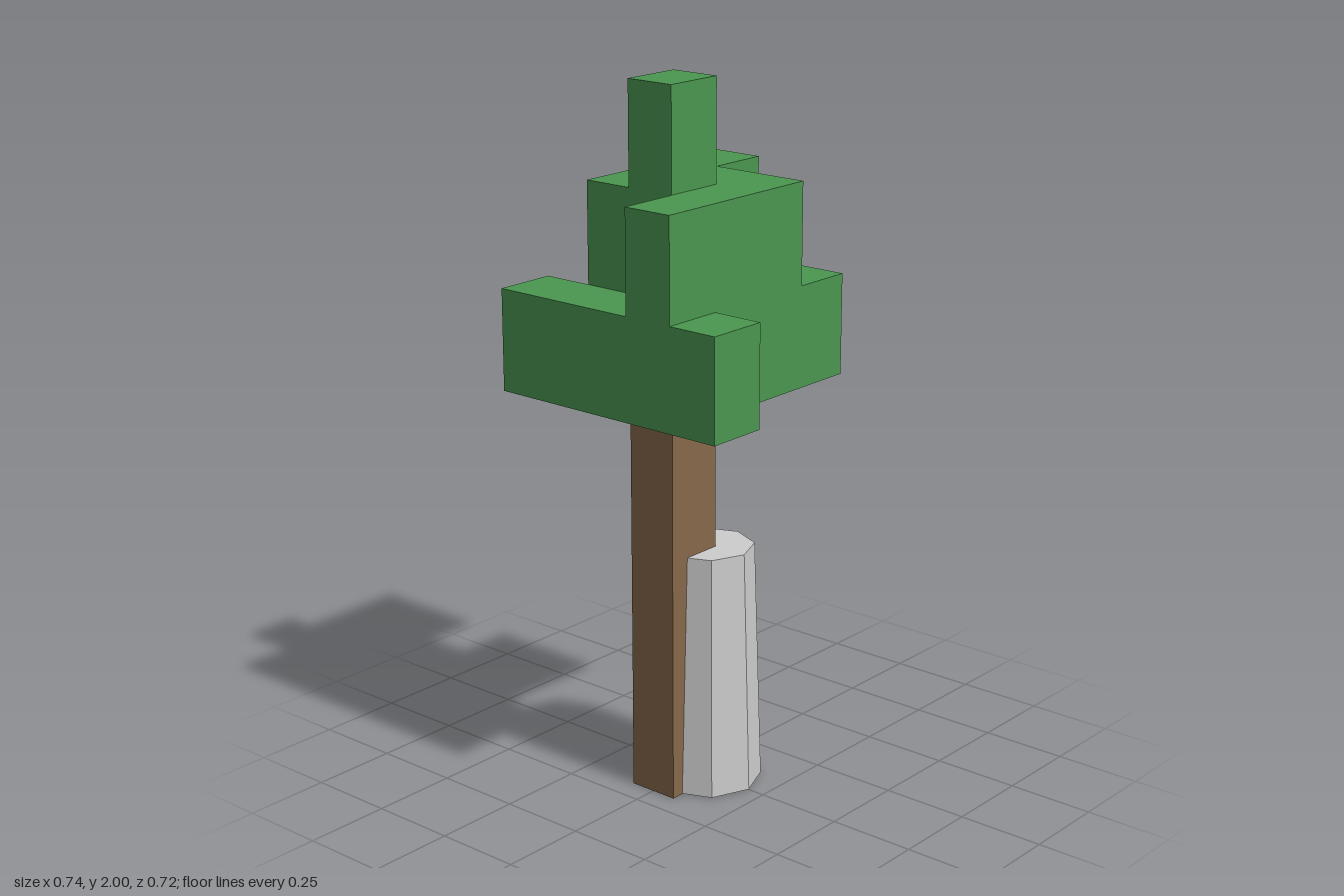
import * as THREE from 'three';

// Block grid: width, height and depth of one cell
const W = 0.1484, H = 2 / 7, D = 0.18;

const leafGreen = new THREE.MeshStandardMaterial({ color: 0x4a9650 });
leafGreen.name = 'leafGreen';
const barkBrown = new THREE.MeshStandardMaterial({ color: 0x86684a });
barkBrown.name = 'barkBrown';
const stoneGrey = new THREE.MeshStandardMaterial({ color: 0xcccccc });
stoneGrey.name = 'stoneGrey';

// Upright block layer from an [x, z] outline in cells, between two cell heights
function layer(name, outline, from, to, material) {
  const shape = new THREE.Shape(outline.map(([x, z]) => new THREE.Vector2(x * W, -z * D)));
  const geometry = new THREE.ExtrudeGeometry(shape, { depth: (to - from) * H, bevelEnabled: false });
  geometry.rotateX(-Math.PI / 2);
  const mesh = new THREE.Mesh(geometry, material);
  mesh.name = name;
  mesh.position.y = from * H;
  return mesh;
}

export function createModel() {
  const tree = new THREE.Group();
  tree.name = 'blockTree';

  // Trunk and treetop share one single-cell outline
  const cell = [[-0.5, 0], [0.5, 0], [0.5, 1], [-0.5, 1]];
  tree.add(layer('trunk', cell, 0, 4, barkBrown));
  tree.add(layer('treetop', cell, 6, 7, leafGreen));

  // Lower foliage: wide front bar, core and one block at the back
  tree.add(layer('lowerFoliage', [
    [-2.5, 2], [2.5, 2], [2.5, 1], [1.5, 1], [1.5, -2],
    [0.5, -2], [0.5, -1], [-1.5, -1], [-1.5, 1], [-2.5, 1],
  ], 4, 5, leafGreen));

  // Upper foliage: core with one block in front and one overhanging the back
  tree.add(layer('upperFoliage', [
    [-1.5, 1], [0.5, 1], [0.5, 2], [1.5, 2], [1.5, -1],
    [-0.5, -1], [-0.5, -2], [-1.5, -2],
  ], 5, 6, leafGreen));

  // Tapered eight-sided stone post, a hair above the trunk's base
  const post = new THREE.Mesh(
    new THREE.CylinderGeometry(0.131, 0.1535, 0.699, 8).toNonIndexed(), stoneGrey);
  post.geometry.computeVertexNormals(); // flat facets
  post.name = 'stonePost';
  post.position.set(0.0455, 0.3505, 0);
  tree.add(post);

  return tree;
}
